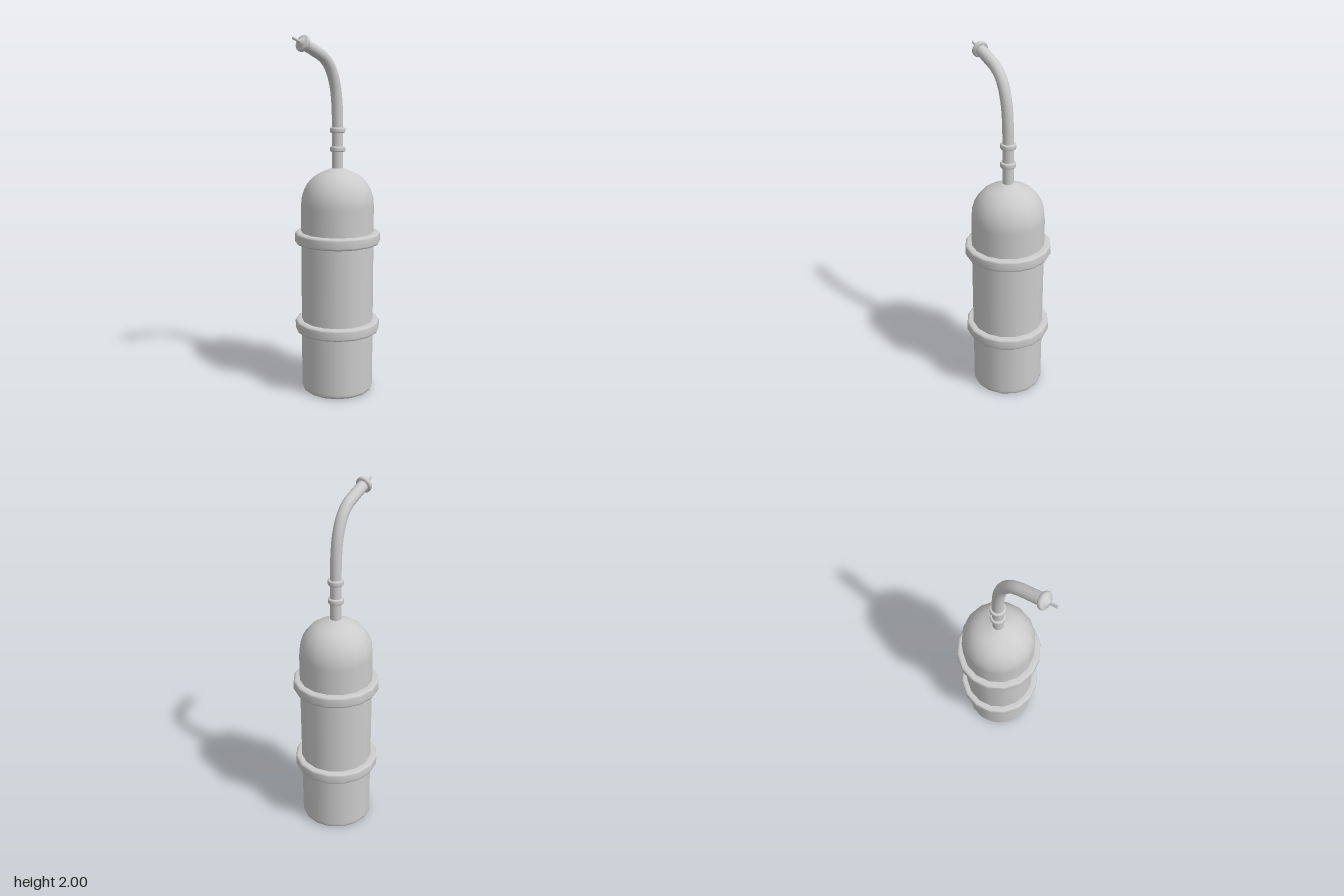
import * as THREE from 'three';

const AXIS_Z = -0.045; // the tank's axis sits slightly behind the centre

export function createModel() {
  const model = new THREE.Group();
  const material = new THREE.MeshStandardMaterial({ color: 0xcccccc });

  const add = (name, geometry, y = 0, z = AXIS_Z) => {
    const mesh = new THREE.Mesh(geometry, material);
    mesh.name = name;
    mesh.position.set(0, y, z);
    model.add(mesh);
    return mesh;
  };
  const lathe = (points, sides) =>
    new THREE.LatheGeometry(points.map(([r, y]) => new THREE.Vector2(r, y)), sides);

  // Ring with softened outer edges, centred on its own height
  const ring = (inner, outer, height, bevel, sides) => {
    const h = height / 2;
    return lathe([
      [inner, -h], [outer - bevel * 1.2, -h], [outer - bevel * 0.3, -h + bevel * 0.3],
      [outer, -h + bevel], [outer, h - bevel],
      [outer - bevel * 0.3, h - bevel * 0.3], [outer - bevel * 1.2, h], [inner, h],
    ], sides);
  };

  // Tank: rounded foot, straight wall and domed top
  add('tank', lathe([
    [0, 0], [0.185, 0], [0.193, 0.001], [0.202, 0.007], [0.205, 0.018], [0.205, 0.03],
    [0.205, 0.55], [0.205, 1.08], [0.201, 1.125], [0.187, 1.17], [0.167, 1.205],
    [0.142, 1.234], [0.113, 1.255], [0.08, 1.27], [0.05, 1.282], [0.03, 1.29], [0, 1.292],
  ], 16));

  // Two bands around the tank
  for (const [name, y] of [['lowerBand', 0.386], ['upperBand', 0.898]]) {
    add(name, ring(0.195, 0.241, 0.066, 0.013, 16), y);
  }

  // Hose: rises straight, then bends forward
  const path = new THREE.CatmullRomCurve3([
    [1.27, -0.045], [1.4, -0.045], [1.52, -0.045], [1.645, -0.04], [1.735, -0.027],
    [1.81, -0.002], [1.86, 0.03], [1.893, 0.068], [1.922, 0.13], [1.953, 0.205],
  ].map(([y, z]) => new THREE.Vector3(0, y, z)));
  add('hose', new THREE.TubeGeometry(path, 36, 0.031, 16), 0, 0);

  // Two collars on the straight part of the hose
  for (const [name, y] of [['lowerCollar', 1.396], ['upperCollar', 1.5]]) {
    add(name, ring(0.025, 0.043, 0.03, 0.007, 16), y);
  }

  // Nozzle: flange, cone and thin spout, tilted up by 20 degrees
  const nozzle = add('nozzle', lathe([
    [0, -0.014], [0.034, -0.014], [0.042, -0.012], [0.045, -0.006], [0.045, 0.004],
    [0.042, 0.009], [0.036, 0.011], [0.03, 0.012], [0.01, 0.027], [0.008, 0.029],
    [0.007, 0.032], [0.007, 0.07], [0.006, 0.072], [0, 0.072],
  ], 16), 1.956, 0.215);
  nozzle.rotation.x = THREE.MathUtils.degToRad(70);

  return model;
}
